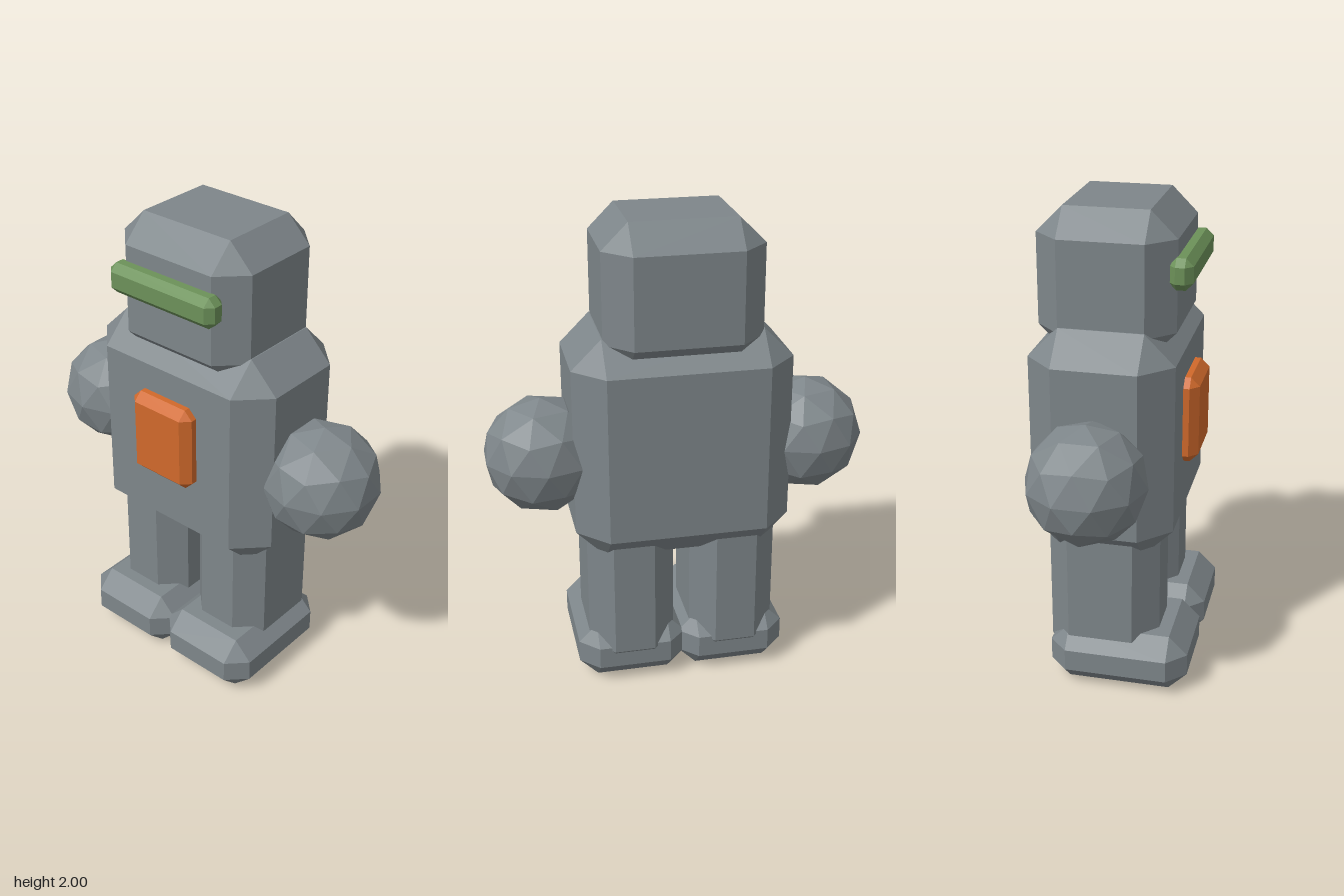
import * as THREE from 'three';
import { ConvexGeometry } from 'three/addons/geometries/ConvexGeometry.js';

function material(name, color) {
  const m = new THREE.MeshStandardMaterial({ color, flatShading: true });
  m.name = name;
  return m;
}

// Box with all edges and corners cut at 45 degrees; min and max are its extents.
function chamferBox(min, max, c) {
  const center = min.map((v, i) => (v + max[i]) / 2);
  const half = min.map((v, i) => (max[i] - v) / 2);
  const points = [];
  for (const sx of [-1, 1]) for (const sy of [-1, 1]) for (const sz of [-1, 1]) {
    const s = [sx, sy, sz];
    // one point for each of the three faces meeting at this corner
    for (let face = 0; face < 3; face++) {
      points.push(new THREE.Vector3(
        ...s.map((sign, i) => center[i] + sign * (half[i] - (i === face ? 0 : c)))));
    }
  }
  return new ConvexGeometry(points);
}

export function createModel() {
  const robot = new THREE.Group();
  robot.name = 'robot';

  const grey = material('grey metal', 0x7e868a);
  const orange = material('orange panel', 0xd0692b);
  const green = material('green visor', 0x6c9159);

  const add = (name, geometry, mat) => {
    const mesh = new THREE.Mesh(geometry, mat);
    mesh.name = name;
    robot.add(mesh);
    return mesh;
  };

  // Body and head
  add('torso', chamferBox([-0.447, 0.6, -0.33], [0.447, 1.55, 0.256], 0.123), grey);
  add('head', chamferBox([-0.32, 1.42, -0.315], [0.32, 2, 0.238], 0.106), grey);

  // Face visor and chest panel
  add('visor', chamferBox([-0.263, 1.703, 0.205], [0.263, 1.828, 0.302], 0.03), green);
  add('chestPanel', chamferBox([-0.153, 0.943, 0.19], [0.153, 1.31, 0.317], 0.036), orange);

  // Legs and feet, mirrored
  for (const [side, s] of [['left', 1], ['right', -1]]) {
    const limb = (part, x0, x1, y0, y1, z0, z1, c) => add(side + part,
      chamferBox([Math.min(s * x0, s * x1), y0, z0], [Math.max(s * x0, s * x1), y1, z1], c), grey);
    limb('Leg', 0.035, 0.4, 0.06, 0.9, -0.265, 0.2, 0.097);
    limb('Foot', -0.015, 0.447, 0, 0.25, -0.252, 0.332, 0.078);

    // Faceted ball arms, with a vertex at the top
    const ball = new THREE.IcosahedronGeometry(0.243, 1);
    ball.rotateZ(Math.PI / 2 - Math.atan2((1 + Math.sqrt(5)) / 2, 1));
    ball.rotateY(Math.PI);
    add(side + 'Arm', ball, grey).position.set(s * 0.555, 1.018, -0.04);
  }

  return robot;
}
